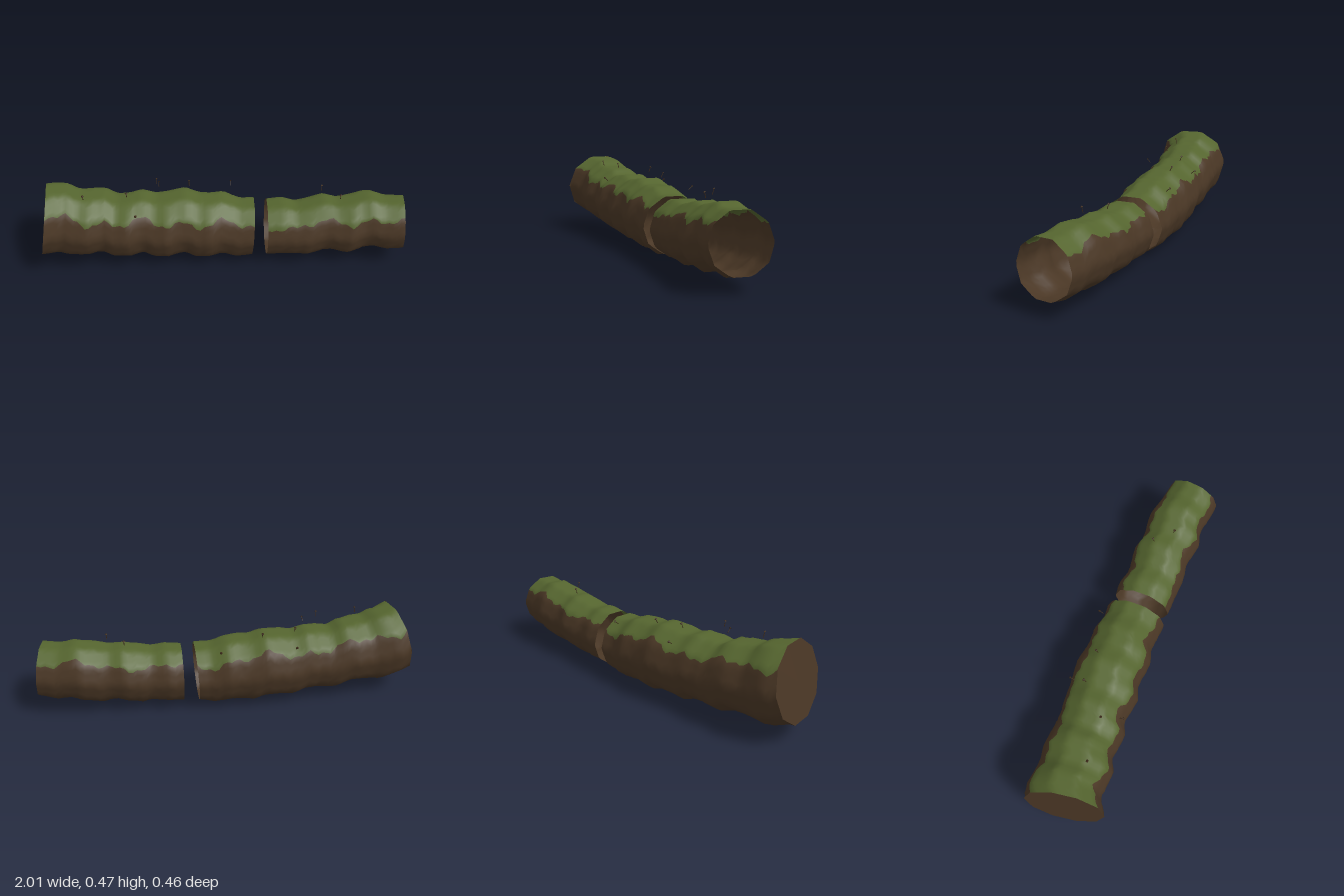
import * as THREE from 'three';

const flat = (name, color, double) => {
  const m = new THREE.MeshStandardMaterial({ color, side: double ? THREE.DoubleSide : THREE.FrontSide });
  m.name = name;
  return m;
};

// Linear lookup in a list of [x, value] points
function at(points, x) {
  if (x <= points[0][0]) return points[0][1];
  for (let i = 1; i < points.length; i++) {
    const [x0, v0] = points[i - 1], [x1, v1] = points[i];
    if (x <= x1) return v0 + (v1 - v0) * (x - x0) / (x1 - x0);
  }
  return points[points.length - 1][1];
}

// Outline of the trunk along x: highest, lowest, backmost and frontmost
const TOP = [[-0.96, 0.48], [-0.84, 0.46], [-0.78, 0.43], [-0.63, 0.42], [-0.57, 0.385], [-0.43, 0.402],
  [-0.36, 0.38], [-0.2, 0.402], [-0.13, 0.375], [0, 0.375], [0.08, 0.342], [0.17, 0.34], [0.24, 0.335],
  [0.33, 0.345], [0.4, 0.33], [0.55, 0.367], [0.62, 0.356], [0.8, 0.395], [0.88, 0.375], [0.98, 0.38]];
const BOTTOM = [[-0.96, 0.1], [-0.9, 0.085], [-0.84, 0.06], [-0.67, 0.072], [-0.6, 0.035], [-0.43, 0.046],
  [-0.37, 0.018], [-0.2, 0.032], [-0.15, 0.005], [0, 0.02], [0.08, 0.003], [0.17, 0.025], [0.24, 0.024],
  [0.42, 0.035], [0.46, 0.026], [0.6, 0.06], [0.67, 0.04], [0.83, 0.082], [0.9, 0.07], [0.98, 0.09]];
const BACK = [[-0.96, -0.18], [-0.9, -0.2], [-0.77, -0.19], [-0.7, -0.205], [-0.5, -0.197], [-0.42, -0.208],
  [-0.2, -0.228], [-0.07, -0.21], [0, -0.217], [0.1, -0.195], [0.17, -0.2], [0.24, -0.185], [0.32, -0.19],
  [0.4, -0.17], [0.55, -0.185], [0.62, -0.165], [0.77, -0.177], [0.83, -0.16], [0.98, -0.13]];
const FRONT = [[-0.96, 0.222], [-0.87, 0.17], [-0.72, 0.182], [-0.65, 0.148], [-0.5, 0.165], [-0.44, 0.135],
  [-0.3, 0.157], [-0.22, 0.13], [-0.07, 0.147], [0, 0.12], [0.17, 0.135], [0.24, 0.13], [0.47, 0.142],
  [0.55, 0.127], [0.7, 0.155], [0.77, 0.133], [0.96, 0.165]];

const SIDES = 10, MOSS_STEPS = 16, BARK_STEPS = 26, RING = MOSS_STEPS + BARK_STEPS;

// Point on the faceted trunk section; lean tilts the section near the sawn ends
function trunkPoint(x, a, lean) {
  const t = at(TOP, x), b = at(BOTTOM, x), k = at(BACK, x), f = at(FRONT, x);
  const step = 2 * Math.PI / SIDES;
  const local = (((a + step / 2) % step) + step) % step - step / 2;
  const r = 1.02 * Math.cos(step / 2) / Math.cos(step / 2 - Math.abs(local));
  const dy = r * Math.sin(a) * (t - b) / 2, dz = r * Math.cos(a) * (f - k) / 2;
  return [x + lean[0] * dy + lean[1] * dz, (t + b) / 2 + dy, (k + f) / 2 + dz];
}

// Ragged edge of the moss, as an angle offset
const ragged = (x, p) => 0.1 * Math.sin(13 * x + p) + 0.07 * Math.sin(31 * x + 2 * p) + 0.05 * Math.sin(83 * x + 3 * p);

// One open length of trunk: moss over the top, bark around the rest
function trunk(name, x0, x1, lean0, lean1, materials) {
  const rows = Math.round((x1 - x0) / 0.022), pos = [], moss = [], bark = [];
  for (let i = 0; i <= rows; i++) {
    const x = x0 + (x1 - x0) * i / rows;
    const w0 = Math.max(0, 1 - (x - x0) / 0.4), w1 = Math.max(0, 1 - (x1 - x) / 0.4);
    const lean = [0, 1].map(c => lean0[c] * w0 + lean1[c] * w1);
    const a0 = 0.6 + ragged(x, 1), a1 = Math.PI - 0.66 - ragged(x, 4);
    for (let j = 0; j < RING; j++) {
      const a = j <= MOSS_STEPS ? a0 + (a1 - a0) * j / MOSS_STEPS
        : a1 + (a0 + 2 * Math.PI - a1) * (j - MOSS_STEPS) / BARK_STEPS;
      pos.push(...trunkPoint(x, a, lean));
      if (i === rows) continue;
      const p = i * RING + j, q = i * RING + (j + 1) % RING;
      (j < MOSS_STEPS ? moss : bark).push(p, p + RING, q + RING, p, q + RING, q);
    }
  }
  const g = new THREE.BufferGeometry();
  g.setAttribute('position', new THREE.Float32BufferAttribute(pos, 3));
  g.setIndex([...moss, ...bark]);
  g.addGroup(0, moss.length, 0);
  g.addGroup(moss.length, bark.length, 1);
  g.computeVertexNormals();
  const mesh = new THREE.Mesh(g, materials);
  mesh.name = name;
  return mesh;
}

// Flat disc closing the wide end
function endDisc(x, lean, material) {
  const pos = [x, (at(TOP, x) + at(BOTTOM, x)) / 2, (at(BACK, x) + at(FRONT, x)) / 2], index = [];
  const n = SIDES * 2;
  for (let j = 0; j < n; j++) {
    pos.push(...trunkPoint(x, 2 * Math.PI * j / n, lean));
    index.push(0, 1 + j, 1 + (j + 1) % n);
  }
  const g = new THREE.BufferGeometry();
  g.setAttribute('position', new THREE.Float32BufferAttribute(pos, 3));
  g.setIndex(index);
  g.computeVertexNormals();
  const mesh = new THREE.Mesh(g, material);
  mesh.name = 'endDisc';
  return mesh;
}

// Tiny mushroom whose tip is at (x, y, z), pointing away from the trunk axis
function mushroom(x, y, z, material) {
  const group = new THREE.Group();
  group.name = 'mushroom';
  const stem = new THREE.Mesh(new THREE.CylinderGeometry(0.0015, 0.002, 0.032, 6), material);
  stem.name = 'mushroomStem';
  stem.position.y = -0.018;
  const cap = new THREE.Mesh(new THREE.ConeGeometry(0.007, 0.007, 8), material);
  cap.name = 'mushroomCap';
  cap.position.y = -0.0035;
  group.add(stem, cap);
  group.position.set(x, y, z);
  const out = new THREE.Vector3(0, y - 0.22, z + 0.02).normalize();
  group.quaternion.setFromUnitVectors(new THREE.Vector3(0, 1, 0), out);
  return group;
}

export function createModel() {
  const moss = flat('moss green', 0x55652f, true);
  const bark = flat('bark brown', 0x4a3725, true);
  const dark = flat('mushroom brown', 0x3a2818);
  const model = new THREE.Group();
  model.name = 'hollowLog';

  // Two lengths of the broken trunk
  const wideLean = [0.2, 0.15];
  model.add(trunk('longTrunk', -0.96, 0.165, wideLean, [0.05, 0], [moss, bark]));
  model.add(trunk('shortTrunk', 0.242, 0.983, [0, 0], [-0.08, -0.12], [moss, bark]));
  model.add(endDisc(-0.96, wideLean, bark));

  // Flared stub inside the hollow
  const profile = [[0.044, 0], [0.036, 0.022], [0.03, 0.05], [0.027, 0.085], [0, 0.085]];
  const stub = new THREE.Mesh(new THREE.LatheGeometry(profile.map(p => new THREE.Vector2(...p)), 12), bark);
  stub.name = 'innerStub';
  stub.position.set(-0.6, 0.228, -0.018);
  stub.rotation.z = -0.28;
  model.add(stub);

  // Mushrooms scattered over the moss
  for (const [x, y, z] of [[-0.73, 0.464, 0.062], [-0.505, 0.464, 0.04], [-0.355, 0.45, -0.118], [-0.18, 0.43, -0.125],
    [-0.455, 0.386, 0.143], [0.54, 0.418, -0.08], [0.63, 0.418, 0.017], [0.05, 0.373, -0.203], [-0.35, 0.373, -0.203]])
    model.add(mushroom(x, y, z, dark));

  return model;
}
